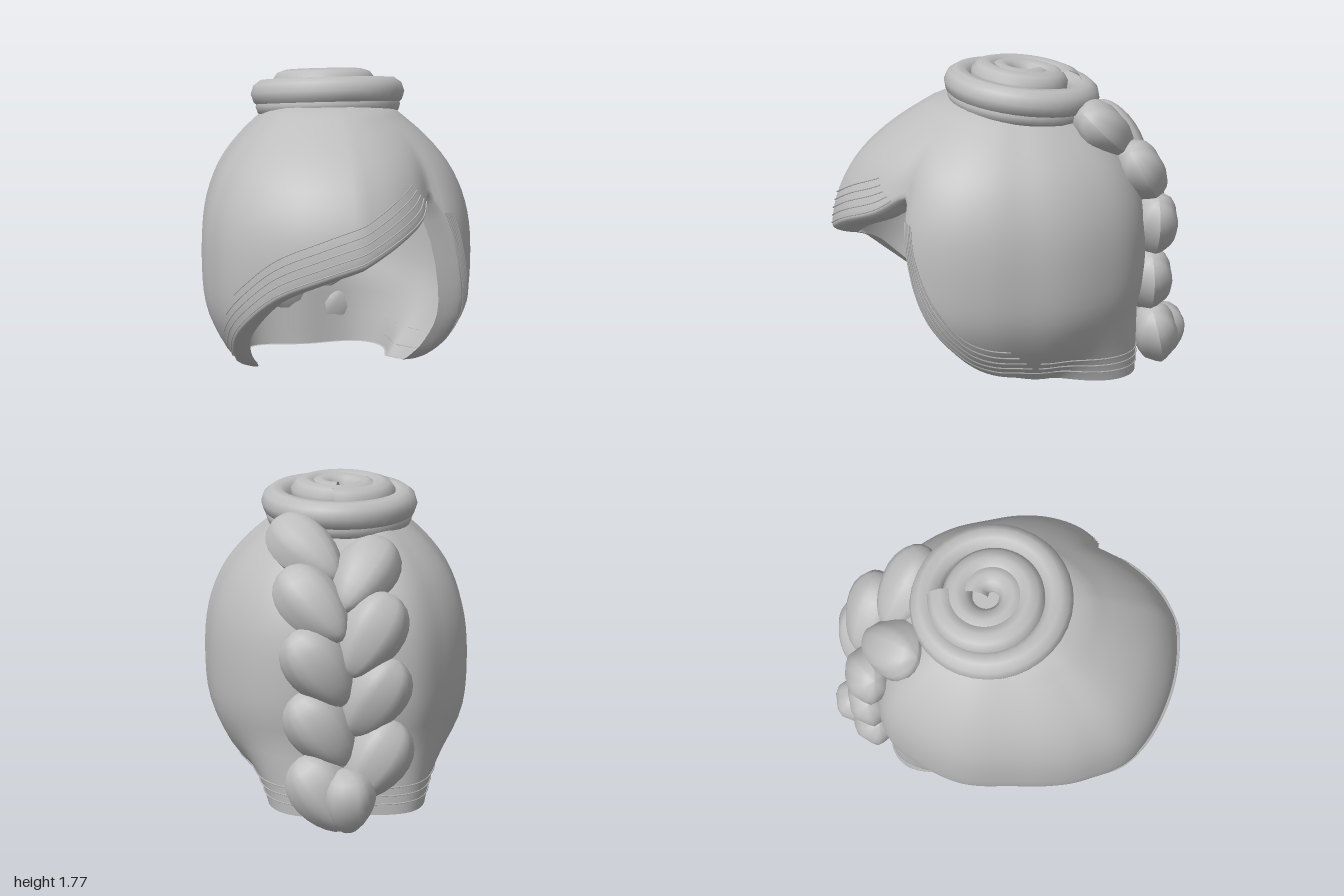
import * as THREE from 'three';

const hair = new THREE.MeshStandardMaterial({ color: 0xbdbdbd, side: THREE.DoubleSide });
hair.name = 'grey hair';

// Smooth interpolation through [key, value] pairs
function sample(table, k) {
  const n = table.length;
  let i = 0;
  while (i < n - 2 && k > table[i + 1][0]) i++;
  const slope = (j) => {
    const a = table[Math.max(j - 1, 0)], b = table[Math.min(j + 1, n - 1)];
    return (b[1] - a[1]) / (b[0] - a[0]);
  };
  const [k0, v0] = table[i], [k1, v1] = table[i + 1];
  const h = k1 - k0, t = THREE.MathUtils.clamp((k - k0) / h, 0, 1), t2 = t * t, t3 = t2 * t;
  return v0 * (2 * t3 - 3 * t2 + 1) + v1 * (3 * t2 - 2 * t3)
    + h * (slope(i) * (t3 - 2 * t2 + t) + slope(i + 1) * (t3 - t2));
}

// Widest radius by angle in degrees (0 = front, 90 = left side)
const sides = [[60, 0.82], [75, 0.78], [90, 0.745], [107, 0.75], [122, 0.76], [140, 0.78], [155, 0.77],
  [180, 0.7], [205, 0.77], [222, 0.74], [242, 0.72], [270, 0.7], [300, 0.82], [315, 0.91], [335, 0.96], [360, 1]];
const fullRadius = [[0, 1], [12, 0.97], [25, 0.92], [34, 0.89], [48, 0.85], ...sides];
const partedRadius = [[0, 1], [12, 0.96], [25, 0.88], [31, 0.83], [36, 0.8], [41, 0.83], [48, 0.84], ...sides];
// Share of that radius by height
const profile = [[0, 0.53], [0.1, 0.63], [0.2, 0.75], [0.3, 0.85], [0.5, 0.97], [0.75, 1], [1, 0.975],
  [1.2, 0.885], [1.35, 0.75], [1.5, 0.54], [1.58, 0.36], [1.62, 0]];
// Height of the hairline by angle
const hairline = [[0, 0.81], [12, 0.91], [25, 1], [35, 1.1], [39, 1.02], [43, 0.84], [48, 0.6], [55, 0.38],
  [68, 0.16], [90, 0.09], [115, 0.06], [180, 0.03], [240, 0.06], [270, 0.09], [297, 0.18], [309, 0.3],
  [320, 0.46], [333, 0.63], [348, 0.74], [360, 0.81]];

function capPoint(deg, y, inset = 0, drop = 0) {
  const a = THREE.MathUtils.degToRad(deg);
  const blend = THREE.MathUtils.smoothstep(y, 1.1, 1.5);
  const r = THREE.MathUtils.lerp(sample(partedRadius, deg), sample(fullRadius, deg), blend);
  let p = sample(profile, y);
  // the nape stays full down to the hairline
  if (y < 0.6) p = THREE.MathUtils.lerp(p, Math.max(p, 0.95), THREE.MathUtils.smoothstep(-Math.cos(a), 0.4, 0.95));
  const d = r * p - inset;
  return new THREE.Vector3(d * Math.sin(a), y - drop, d * Math.cos(a));
}

// Swept cap with a rolled-in hairline
function capGeometry() {
  const around = 144, down = 26, curl = 5, rows = down + curl + 1;
  const pos = [], index = [];
  for (let i = 0; i < around; i++) {
    const deg = (i * 360) / around, rim = sample(hairline, deg);
    const front = THREE.MathUtils.smoothstep(Math.cos(THREE.MathUtils.degToRad(deg)), -0.2, 0.5);
    const edge = rim + 0.05 * front;
    for (let j = 0; j < rows; j++) {
      let v;
      if (j <= down) v = capPoint(deg, 1.62 - (1.62 - edge) * Math.pow(j / down, 1.3));
      else {
        const c = ((j - down) / curl) * Math.PI / 2;
        v = capPoint(deg, edge, (0.02 + 0.12 * front) * (1 - Math.cos(c)), 0.05 * front * Math.sin(c));
      }
      pos.push(v.x, v.y, v.z);
    }
  }
  for (let i = 0; i < around; i++) {
    const n = (i + 1) % around;
    for (let j = 0; j < rows - 1; j++) {
      const a = i * rows + j, c = n * rows + j;
      index.push(a, a + 1, c, a + 1, c + 1, c);
    }
  }
  const g = new THREE.BufferGeometry();
  g.setAttribute('position', new THREE.Float32BufferAttribute(pos, 3));
  g.setIndex(index);
  g.computeVertexNormals();
  return g;
}

// Fine strand lying along the hairline, a little above it
function strand(from, to, lift) {
  const pts = [];
  for (let i = 0; i <= 24; i++) {
    const deg = (from + ((to - from) * i) / 24 + 360) % 360;
    pts.push(capPoint(deg, sample(hairline, deg) + lift, -0.004));
  }
  return new THREE.TubeGeometry(new THREE.CatmullRomCurve3(pts), 60, 0.004, 4);
}

// Plump lock, broad at the top and lightly grooved
function lockGeometry() {
  const g = new THREE.SphereGeometry(1, 20, 12), p = g.attributes.position;
  for (let i = 0; i < p.count; i++) {
    const x = p.getX(i), y = p.getY(i), z = p.getZ(i);
    const s = (1 + 0.05 * Math.cos(6 * Math.atan2(z, x))) * (1 + 0.2 * y);
    p.setXYZ(i, x * s, y, z * s);
  }
  g.computeVertexNormals();
  return g;
}

// Spiral of a thick coil
function coil(turns, r0, r1, y0, y1, tube) {
  const pts = [];
  const n = Math.round(turns * 16);
  for (let i = 0; i <= n; i++) {
    const t = i / n, a = t * turns * Math.PI * 2 + 2.9, r = r0 + (r1 - r0) * t;
    pts.push(new THREE.Vector3(r * Math.sin(a), y0 + (y1 - y0) * t, r * Math.cos(a)));
  }
  return new THREE.TubeGeometry(new THREE.CatmullRomCurve3(pts), n * 3, tube, 10);
}

export function createModel() {
  const model = new THREE.Group();
  model.name = 'hairstyle';
  const add = (parent, name, geometry) => {
    const m = new THREE.Mesh(geometry, hair);
    m.name = name;
    parent.add(m);
    return m;
  };

  add(model, 'sweptCap', capGeometry());

  // Strands on the right fringe, the left fringe and the nape
  const strands = new THREE.Group();
  strands.name = 'strands';
  model.add(strands);
  for (let k = 0; k < 5; k++) {
    const lift = 0.06 + k * 0.045;
    add(strands, 'rightFringeStrand', strand(-62 + k * 5, 30 - k * 2, lift));
    add(strands, 'leftFringeStrand', strand(40 + k, 100 - k * 4, lift));
    if (k < 3) add(strands, 'napeStrand', strand(100, 260, lift));
  }

  // Bun: two stacked rings and a crown spiral, tipped back
  const bun = new THREE.Group();
  bun.name = 'bun';
  bun.position.set(0.015, 1.59, -0.05);
  bun.rotation.x = -0.12;
  model.add(bun);
  for (const [name, radius, tube, y] of [['bunBase', 0.34, 0.06, -0.04], ['bunRing', 0.345, 0.08, 0.03]]) {
    const ring = add(bun, name, new THREE.TorusGeometry(radius, tube, 10, 36));
    ring.rotation.x = Math.PI / 2;
    ring.position.y = y;
  }
  add(bun, 'bunCrown', coil(2, 0.25, 0.085, 0.08, 0.075, 0.08));
  const core = add(bun, 'bunCore', new THREE.CylinderGeometry(0.16, 0.34, 0.14, 24));
  core.position.y = 0.01;

  // Braid of alternating locks down the back
  const braid = new THREE.Group();
  braid.name = 'braid';
  model.add(braid);
  const path = new THREE.CatmullRomCurve3([[0.09, 1.42, -0.48], [0.08, 1.3, -0.6], [0.07, 1.14, -0.71],
    [0.05, 0.9, -0.765], [0.04, 0.62, -0.75], [0.03, 0.38, -0.76], [0.03, 0.2, -0.8]]
    .map((p) => new THREE.Vector3(...p)));
  const lock = lockGeometry(), count = 9, X = new THREE.Vector3(1, 0, 0);
  for (let i = 0; i < count; i++) {
    const t = i / (count - 1), side = i % 2 ? -1 : 1;
    const T = path.getTangentAt(t);
    // long axis points up and outwards
    const L = T.clone().multiplyScalar(-Math.cos(0.6)).addScaledVector(X, side * Math.sin(0.6)).normalize();
    const N = new THREE.Vector3().crossVectors(X, T).normalize();
    const W = new THREE.Vector3().crossVectors(L, N);
    const m = add(braid, 'braidLock', lock);
    m.quaternion.setFromRotationMatrix(new THREE.Matrix4().makeBasis(W, L, N));
    m.position.copy(path.getPointAt(t)).addScaledVector(X, side * 0.14);
    m.scale.set(0.155, 0.245 - 0.02 * t, 0.125);
  }
  // Tucked end of the braid
  const end = add(braid, 'braidEnd', lock);
  end.position.set(0.05, 0.17, -0.84);
  end.scale.set(0.14, 0.17, 0.15);

  return model;
}
